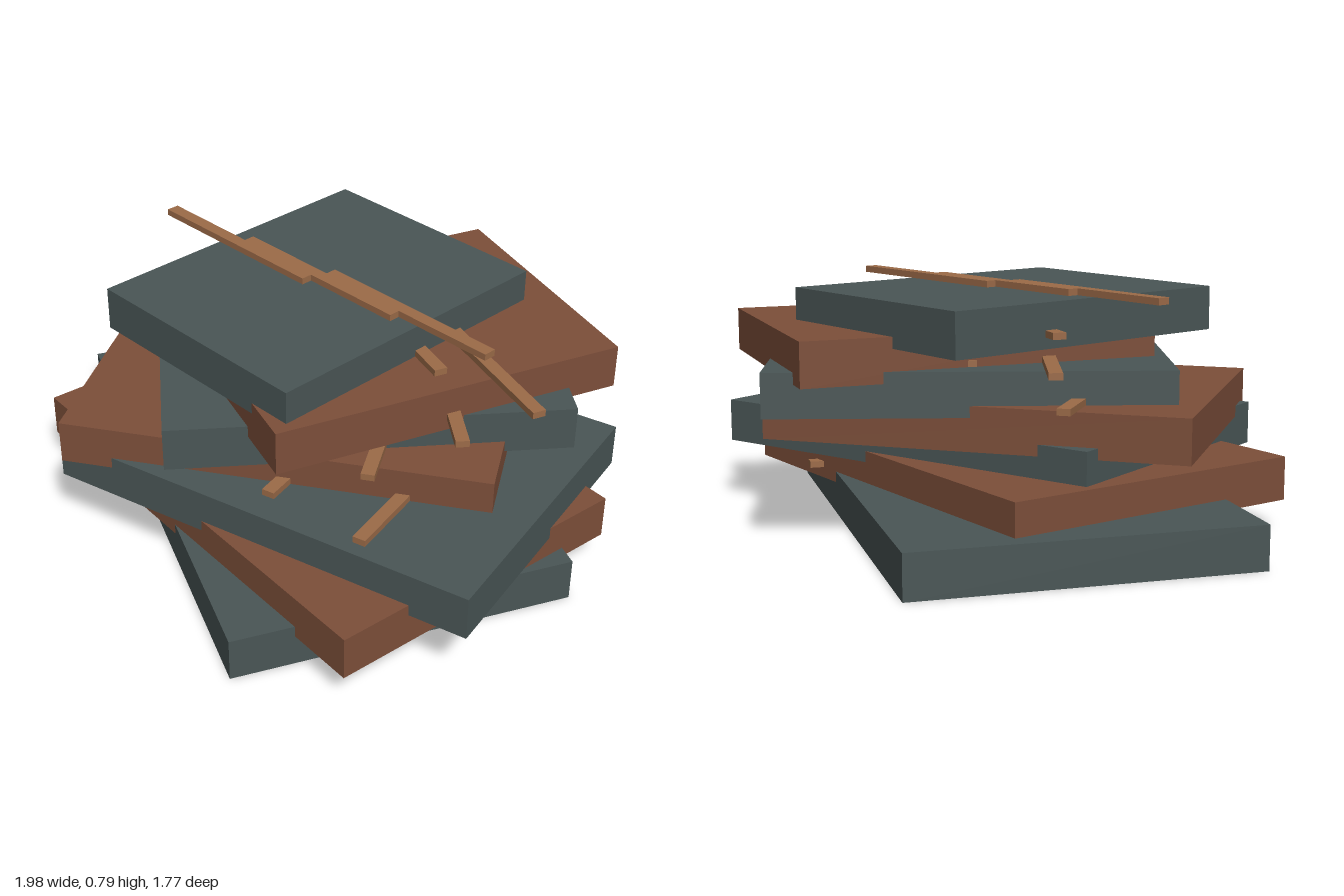
import * as THREE from 'three';

const SLAB_H = 0.14, PITCH = 0.1042, STICK_H = 0.021, STICK_W = 0.042;

// Centre (x, z) of each slab, bottom to top
const CENTRES = [
  [0, 0], [0.1, 0.095], [0.203, 0.105], [-0.005, 0.015],
  [0.1, -0.09], [0.21, -0.12], [-0.005, -0.037],
];

export function createModel() {
  const model = new THREE.Group();
  const slate = new THREE.MeshStandardMaterial({ color: 0x4a5656 });
  const brown = new THREE.MeshStandardMaterial({ color: 0x7d4f3a });
  const wood = new THREE.MeshStandardMaterial({ color: 0x9c6b48 });

  function addBox(parent, name, size, position, angle, material) {
    const mesh = new THREE.Mesh(new THREE.BoxGeometry(...size), material);
    mesh.name = name;
    mesh.position.set(...position);
    mesh.rotation.y = angle;
    parent.add(mesh);
  }

  CENTRES.forEach(([x, z], i) => {
    const layer = new THREE.Group();
    layer.name = `layer${i + 1}`;
    model.add(layer);

    // Slabs shrink and twist evenly towards the top, each sunk into the one below
    const width = 1.09 - 0.044 * i;
    const depth = 1.66 - 0.103 * i;
    const angle = -THREE.MathUtils.degToRad(120 - 19 * i);
    const base = i * PITCH;
    addBox(layer, 'slab', [width, SLAB_H, depth], [x, base + SLAB_H / 2, z], angle, i % 2 ? brown : slate);

    // Three parallel sticks lying on the slab
    for (const offset of [-0.35, 0, 0.35]) {
      addBox(layer, 'stick', [width * 0.81, STICK_H, STICK_W],
        [x + offset, base + SLAB_H + STICK_H / 2, z], angle, wood);
    }
  });

  return model;
}
